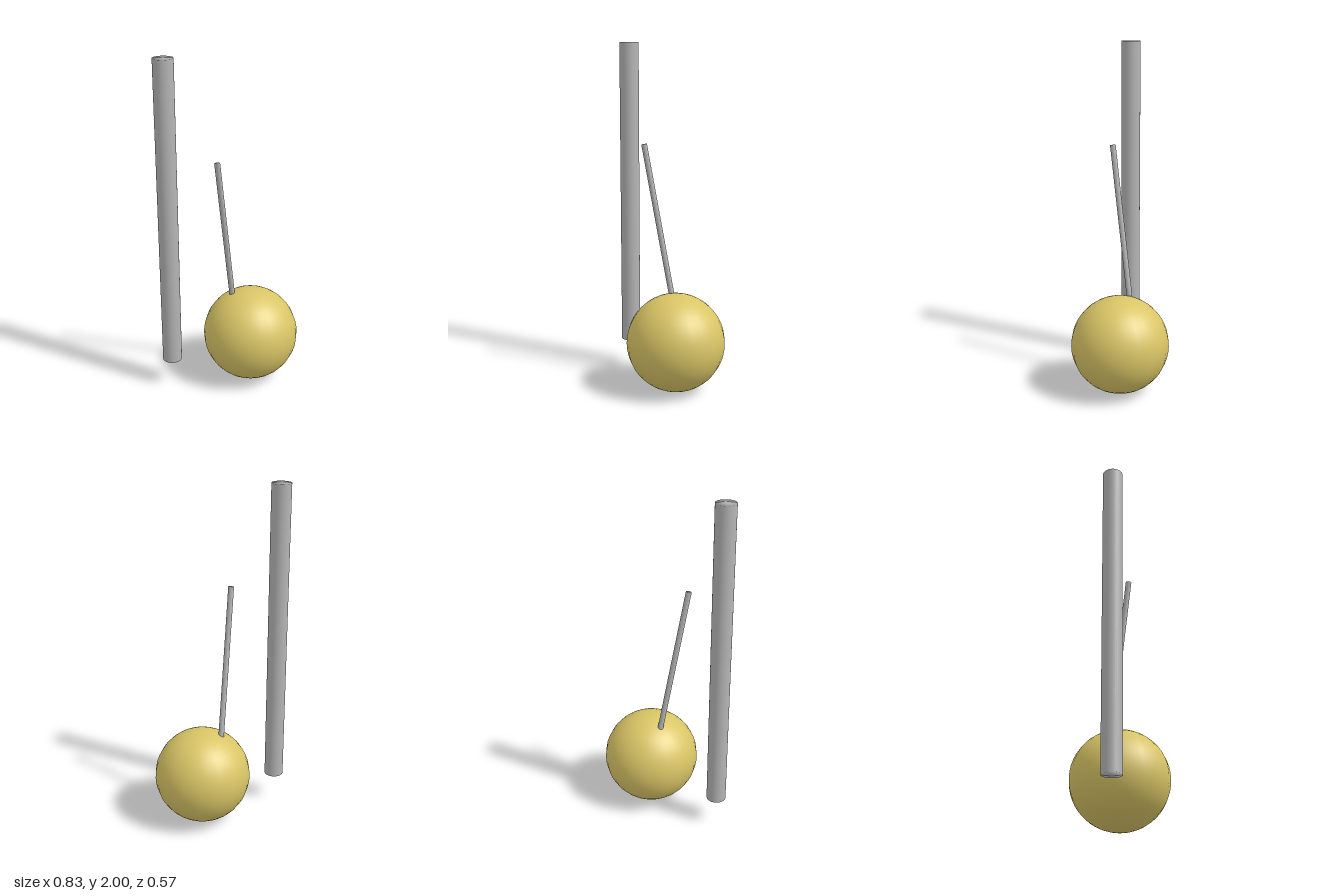
import * as THREE from 'three';
import { mergeVertices } from 'three/addons/utils/BufferGeometryUtils.js';

const gold = new THREE.MeshStandardMaterial({ name: 'gold', color: 0xd9c566 });
const grey = new THREE.MeshStandardMaterial({ name: 'grey', color: 0xb5b5b5 });

// Capped rod between two points, with normals smoothed over the rims
function rod(name, from, to, radius, sides) {
  const a = new THREE.Vector3(...from);
  const b = new THREE.Vector3(...to);
  let geometry = new THREE.CylinderGeometry(radius, radius, a.distanceTo(b), sides);
  geometry.deleteAttribute('normal');
  geometry.deleteAttribute('uv');
  geometry = mergeVertices(geometry);
  geometry.computeVertexNormals();
  const mesh = new THREE.Mesh(geometry, grey);
  mesh.name = name;
  mesh.position.addVectors(a, b).multiplyScalar(0.5);
  mesh.quaternion.setFromUnitVectors(new THREE.Vector3(0, 1, 0), b.sub(a).normalize());
  return mesh;
}

export function createModel() {
  const model = new THREE.Group();
  model.name = 'ballAndRods';

  // Ball resting on the ground
  const ball = new THREE.Mesh(new THREE.SphereGeometry(0.285, 24, 24), gold);
  ball.name = 'ball';
  ball.position.set(0.13, 0.286, 0);
  model.add(ball);

  // Upright post, and a thin leaning stick set into the ball
  model.add(rod('post', [-0.36, 0.175, 0], [-0.36, 2, 0], 0.057, 32));
  model.add(rod('stick', [0.036, 0.46, -0.053], [-0.09, 1.422, 0.071], 0.0165, 24));
  return model;
}
